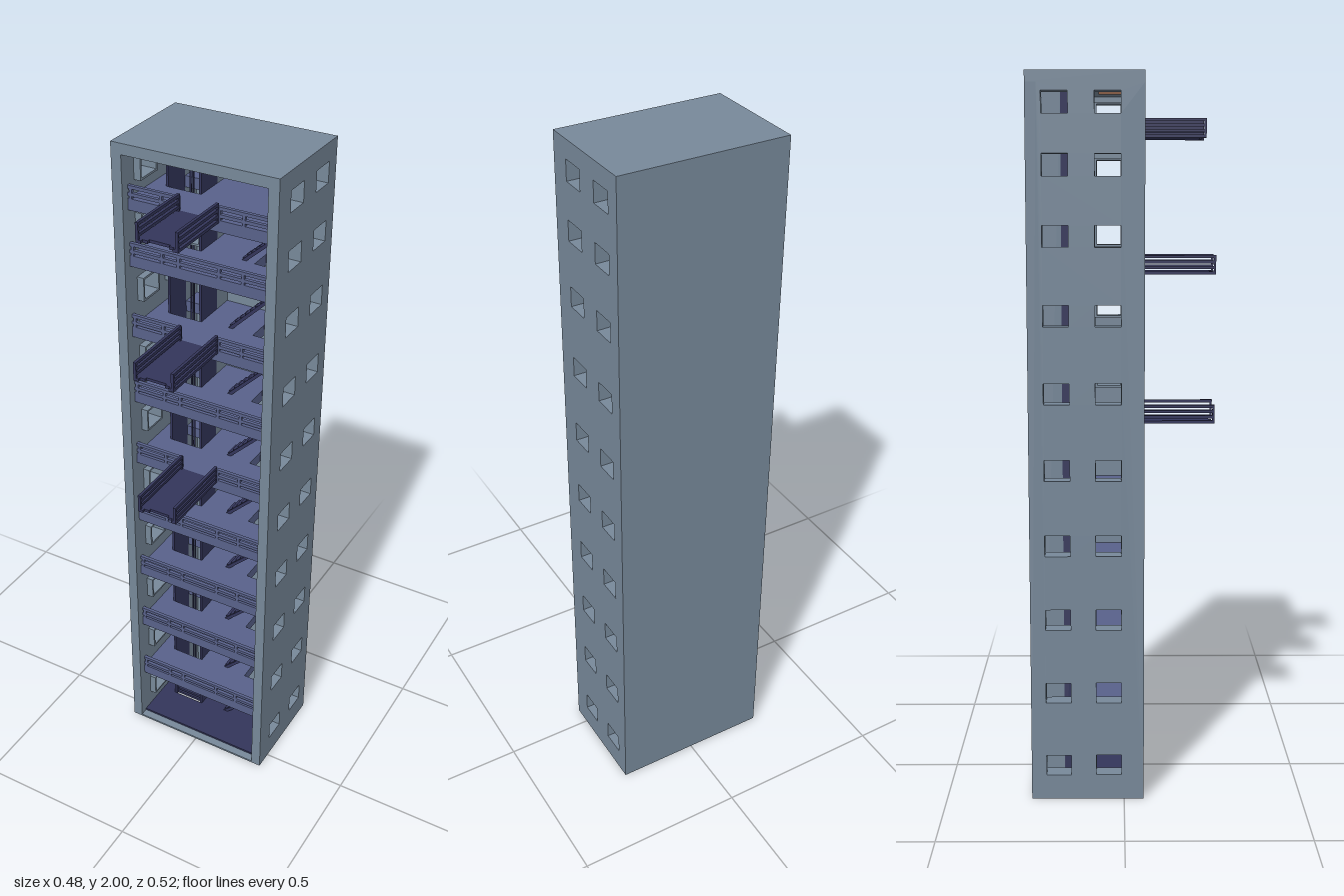
import * as THREE from 'three';

const material = (name, color) => {
  const m = new THREE.MeshStandardMaterial({ color });
  m.name = name;
  return m;
};

export function createModel() {
  const model = new THREE.Group();
  const wall = material('slate wall', 0x778899);
  const slabMat = material('floor blue', 0x58618a);
  const navy = material('dark navy', 0x33355a);
  const lampMat = material('warm lamp', 0xe8a27c);

  const add = (name, geo, mat, parent = model) => {
    const mesh = new THREE.Mesh(geo, mat);
    mesh.name = name;
    parent.add(mesh);
    return mesh;
  };
  // Box given by its extents
  const box = (name, mat, x0, x1, y0, y1, z0, z1, parent) => {
    const geo = new THREE.BoxGeometry(x1 - x0, y1 - y0, z1 - z0);
    geo.translate((x0 + x1) / 2, (y0 + y1) / 2, (z0 + z1) / 2);
    return add(name, geo, mat, parent);
  };
  const rect = (Type, x0, x1, y0, y1) => new Type([
    new THREE.Vector2(x0, y0), new THREE.Vector2(x1, y0),
    new THREE.Vector2(x1, y1), new THREE.Vector2(x0, y1)]);
  const extrude = (shape, depth) => new THREE.ExtrudeGeometry(shape, { depth, bevelEnabled: false });

  const W = 0.238, IN = 0.208, BACK = -0.26, FRONT = 0.055, LIP = 0.03;
  const floors = [0.012, 0.212, 0.423, 0.633, 0.843, 1.053, 1.263, 1.473, 1.685, 1.845];
  const windowY = floors.map((y, i) => (i === 0 ? 0.1 : y + (i < 8 ? 0.1 : 0.074)));
  const windowZ = [-0.043, -0.183];

  // Outer shell
  box('roof', wall, -W, W, 1.97, 2, BACK, FRONT);
  box('backWall', wall, -W, W, 0, 1.97, BACK, BACK + 0.03);
  box('frontSill', wall, -IN, IN, 0, 0.006, 0.022, FRONT);
  for (const side of [-1, 1]) {
    const shape = rect(THREE.Shape, -FRONT, -BACK - 0.03, 0, 1.97);
    for (const y of windowY) for (const z of windowZ)
      shape.holes.push(rect(THREE.Path, -z - 0.035, -z + 0.035, y - 0.029, y + 0.029));
    const geo = extrude(shape, W - IN);
    geo.rotateY(Math.PI / 2);
    geo.translate(side > 0 ? IN : -W, 0, 0);
    add('sideWall', geo, wall);

    // Inner window frames
    for (const y of windowY) for (const z of windowZ) {
      const frame = rect(THREE.Shape, -z - 0.041, -z + 0.041, y - 0.035, y + 0.035);
      frame.holes.push(rect(THREE.Path, -z - 0.035, -z + 0.035, y - 0.029, y + 0.029));
      const f = extrude(frame, 0.02);
      f.rotateY(Math.PI / 2);
      f.translate(side > 0 ? IN - 0.02 : -IN, 0, 0);
      add('windowFrame', f, wall);
    }
  }

  // Floor slabs with lift opening and stairwell
  const SX0 = -0.163, SX1 = -0.057, SZ0 = -0.17, SZ1 = -0.085;
  floors.forEach((y, i) => {
    const shape = rect(THREE.Shape, -IN, IN, -LIP, -BACK - 0.03);
    shape.holes.push(rect(THREE.Path, SX0, SX1, -SZ1, -SZ0));
    if (i > 0 && i < 9) shape.holes.push(rect(THREE.Path, 0.1, 0.2, 0.09, 0.155));
    const t = i === 0 ? 0.008 : 0.032;
    const geo = extrude(shape, t);
    geo.rotateX(-Math.PI / 2);
    geo.translate(0, y - t, 0);
    add(i === 0 ? 'groundFloor' : 'floorSlab', geo, i === 0 ? navy : slabMat);

    // Ceiling lamp
    const ceiling = i < 9 ? floors[i + 1] - 0.032 : 1.97;
    box('ceilingLamp', lampMat, -0.035, 0.035, ceiling - 0.008, ceiling, -0.07, 0);

    // Front railing, open in the middle where a balcony joins
    if (i > 0) {
      const rail = new THREE.Group();
      rail.name = 'railing';
      model.add(rail);
      const balcony = [5, 7, 9].includes(i);
      const spans = balcony ? [[-IN, -0.06], [0.06, IN]] : [[-IN, IN]];
      for (const [a, b] of spans) for (const h of [0.007, 0.027])
        box('rail', slabMat, a, b, y + h, y + h + 0.009, LIP - 0.01, LIP, rail);
      for (const x of [-0.2, -0.11, -0.06, 0.06, 0.13, 0.2])
        box('post', slabMat, x - 0.004, x + 0.004, y, y + 0.036, LIP - 0.01, LIP, rail);
    }
  });

  // Lift shaft: side panels, rear fins, cables, cabin and bottom grate
  const shaft = new THREE.Group();
  shaft.name = 'liftShaft';
  model.add(shaft);
  for (const x of [SX0, SX1 - 0.007]) {
    box('shaftPanel', navy, x, x + 0.007, 0.004, 1.97, SZ0, SZ1, shaft);
    box('shaftFin', wall, x, x + 0.007, 0.012, 1.97, BACK + 0.03, SZ0, shaft);
  }
  for (const x of [-0.114, -0.106])
    box('cable', navy, x - 0.002, x + 0.002, 0.01, 1.97, -0.13, -0.126, shaft);
  for (const y of [0.006, 0.022, 0.038])
    box('grateBar', navy, SX0, SX1, y, y + 0.008, SZ0, SZ1 - 0.01, shaft);
  for (const y of [1.69, 1.775])
    box('cabinPlate', wall, -0.155, -0.065, y, y + 0.006, SZ0 + 0.01, SZ1 - 0.01, shaft);
  for (const x of [-0.155, -0.071])
    box('cabinSide', wall, x, x + 0.006, 1.696, 1.775, SZ0 + 0.01, SZ1 - 0.01, shaft);
  box('cabinBack', wall, -0.149, -0.071, 1.696, 1.775, SZ0 + 0.01, SZ0 + 0.016, shaft);

  // Stairs: two stringers and a run of treads
  for (let i = 0; i < 9; i++) {
    const y0 = floors[i], y1 = floors[i + 1] - 0.03;
    const x0 = i === 8 ? 0.06 : 0.022, x1 = 0.204;
    const stair = new THREE.Group();
    stair.name = 'stairs';
    model.add(stair);
    const shape = new THREE.Shape([[x0, y0], [x0 + 0.014, y0], [x1, y1 - 0.012], [x1, y1]]
      .map(p => new THREE.Vector2(...p)));
    for (const z of [-0.15, -0.1]) {
      const geo = extrude(shape, 0.006);
      geo.translate(0, 0, z);
      add('stringer', geo, navy, stair);
    }
    for (let k = 0; k < 12; k++) {
      const f = (k + 0.5) / 12, x = x0 + (x1 - x0) * f, y = y0 + (y1 - y0) * f;
      box('tread', navy, x - 0.006, Math.min(x + 0.01, x1), y - 0.004, y, -0.144, -0.1, stair);
    }
  }

  // Balconies with stepped front edge and slatted sides
  for (const [i, end] of [[5, 0.257], [7, 0.257], [9, 0.227]]) {
    const y = floors[i] - 0.007;
    const balcony = new THREE.Group();
    balcony.name = 'balcony';
    model.add(balcony);
    const half = [[0.06, LIP], [0.06, end], [0.045, end], [0.045, end - 0.008], [0.03, end - 0.008], [0.03, end - 0.016]];
    const outline = [...half, ...half.map(([x, z]) => [-x, z]).reverse()];
    const geo = extrude(new THREE.Shape(outline.map(([x, z]) => new THREE.Vector2(x, -z))), 0.008);
    geo.rotateX(-Math.PI / 2);
    geo.translate(0, y, 0);
    add('balconyFloor', geo, navy, balcony);
    for (const x of [-0.06, 0.052]) {
      for (const h of [0.015, 0.03, 0.045])
        box('sideSlat', navy, x, x + 0.008, y + h, y + h + 0.008, LIP, end, balcony);
      for (const z of [LIP, end - 0.006])
        box('sidePost', navy, x, x + 0.008, y + 0.008, y + 0.045, z, z + 0.006, balcony);
    }
  }
  return model;
}
